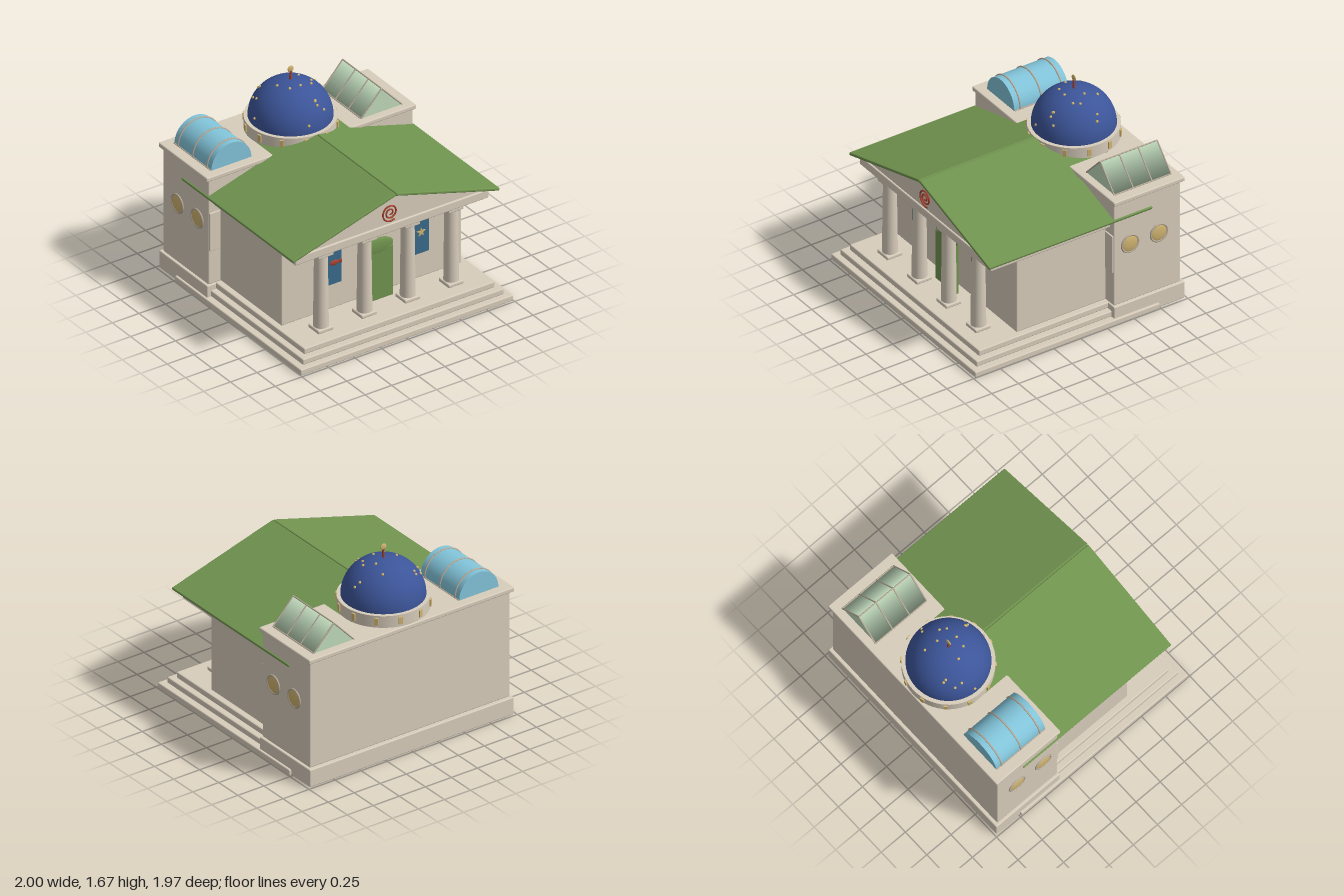
import * as THREE from 'three';
import { RoundedBoxGeometry } from 'three/addons/geometries/RoundedBoxGeometry.js';

const material = (name, color) => {
  const m = new THREE.MeshStandardMaterial({ color });
  m.name = name;
  return m;
};

export function createModel() {
  const stone = material('stone', 0xd8cdbc);
  const green = material('roofGreen', 0x71944f);
  const blue = material('domeBlue', 0x3c5599);
  const cyan = material('vaultGlass', 0x82c4da);
  const pale = material('prismGlass', 0xc0dabc);
  const gold = material('gold', 0xd0b470);
  const red = material('red', 0xa8432f);
  const banner = material('bannerBlue', 0x3a6a8c);
  const frame = material('frame', 0xb9ad9a);

  const model = new THREE.Group();
  model.name = 'templeBuilding';

  const add = (name, geometry, mat, x = 0, y = 0, z = 0, parent = model) => {
    const mesh = new THREE.Mesh(geometry, mat);
    mesh.name = name;
    mesh.position.set(x, y, z);
    parent.add(mesh);
    return mesh;
  };
  // Soft-edged block given by its limits
  const block = (name, mat, x0, x1, y0, y1, z0, z1, r = 0.01) => {
    const w = x1 - x0, h = y1 - y0, d = z1 - z0;
    const radius = Math.min(r, w * 0.4, h * 0.4, d * 0.4);
    return add(name, new RoundedBoxGeometry(w, h, d, 2, radius), mat, (x0 + x1) / 2, (y0 + y1) / 2, (z0 + z1) / 2);
  };
  // Thin round bar between two points
  const bar = (name, mat, a, b, r) =>
    add(name, new THREE.TubeGeometry(new THREE.LineCurve3(new THREE.Vector3(...a), new THREE.Vector3(...b)), 1, r, 8), mat);

  // Steps and plinth
  block('lowerStep', stone, -1, 1, 0, 0.052, -0.74, 0.985);
  block('middleStep', stone, -0.945, 0.945, 0.052, 0.104, -0.4, 0.935);
  block('upperStep', stone, -0.895, 0.895, 0.104, 0.157, -0.4, 0.88);
  block('rearPlinth', stone, -0.98, 0.98, 0, 0.155, -0.985, -0.325);

  // Hall, rear block and its cap
  block('hall', stone, -0.845, 0.845, 0.155, 0.828, -0.36, 0.495);
  block('rearBlock', stone, -0.96, 0.96, 0.155, 1.095, -0.957, -0.335);
  block('rearCap', stone, -0.985, 0.985, 1.09, 1.13, -0.985, -0.322);
  block('entablature', stone, -0.91, 0.91, 0.86, 0.935, -0.34, 0.78);

  // Pediment
  const gable = new THREE.Shape([[-0.92, 0.93], [0.92, 0.93], [0, 1.21]].map(p => new THREE.Vector2(...p)));
  add('pediment', new THREE.ExtrudeGeometry(gable, { depth: 1.1, bevelEnabled: false }), stone, 0, 0, -0.335);

  // Spiral ornament
  const coil = [];
  for (let i = 0; i <= 40; i++) {
    const t = i / 40, a = -Math.PI / 3 - t * Math.PI * 4.4, r = 0.078 - 0.066 * t;
    coil.push(new THREE.Vector3(Math.cos(a) * r, Math.sin(a) * r, 0));
  }
  add('spiralOrnament', new THREE.TubeGeometry(new THREE.CatmullRomCurve3(coil), 120, 0.007, 8), red, -0.012, 1.033, 0.77);

  for (const s of [-1, 1]) {
    // Roof slope
    const slope = block('roofSlope', green, -0.505, 0.505, -0.0125, 0.0125, -0.69, 0.835, 0.008);
    slope.position.set(s * 0.486, 1.081, 0.0725);
    slope.rotation.z = -s * 0.283;

    // Columns with bases and capitals
    for (const x of [0.203, 0.612]) {
      add('column', new THREE.CylinderGeometry(0.054, 0.062, 0.65, 32), stone, s * x, 0.508, 0.695);
      block('columnBase', stone, s * x - 0.072, s * x + 0.072, 0.155, 0.187, 0.623, 0.767);
      block('columnCapital', stone, s * x - 0.072, s * x + 0.072, 0.828, 0.862, 0.623, 0.767);
    }

    // Wing panel and round side windows
    block('wingPanel', stone, s * 0.905 - 0.05, s * 0.905 + 0.05, 0.46, 0.8, -0.345, -0.322, 0.005);
    for (const z of [-0.485, -0.755]) {
      const lens = add('roundWindow', new THREE.SphereGeometry(0.076, 32, 16), gold, s * 0.96, 0.685, z);
      lens.scale.x = 0.22;
      const rim = add('roundWindowRim', new THREE.TorusGeometry(0.076, 0.009, 10, 40), frame, s * 0.963, 0.685, z);
      rim.rotation.y = Math.PI / 2;
    }

    // Banner and its rod
    add('banner', new THREE.BoxGeometry(0.143, 0.35, 0.009), banner, s * 0.409, 0.607, 0.575);
    const rod = add('bannerRod', new THREE.CylinderGeometry(0.009, 0.009, 0.17, 12), red, s * 0.409, 0.784, 0.575);
    rod.rotation.z = Math.PI / 2;
  }

  // Fish emblem
  const fish = add('fishBody', new THREE.SphereGeometry(0.042, 20, 12), red, -0.41, 0.624, 0.582);
  fish.scale.set(1, 0.55, 0.2);
  const tail = add('fishTail', new THREE.ConeGeometry(0.022, 0.04, 12), red, -0.362, 0.624, 0.582);
  tail.rotation.z = Math.PI / 2;
  tail.scale.z = 0.3;

  // Star emblem
  const starShape = new THREE.Shape();
  for (let i = 0; i < 10; i++) {
    const a = Math.PI / 2 + i * Math.PI / 5, r = i % 2 ? 0.017 : 0.042;
    starShape[i ? 'lineTo' : 'moveTo'](Math.cos(a) * r, Math.sin(a) * r);
  }
  add('starEmblem', new THREE.ExtrudeGeometry(starShape, { depth: 0.009, bevelEnabled: false }), gold, 0.406, 0.624, 0.579);

  // Arched door
  block('door', green, -0.142, 0.142, 0.155, 0.605, 0.56, 0.59, 0.005);
  const arch = add('doorArch', new THREE.SphereGeometry(0.15, 32, 20), green, 0, 0.625, 0.575);
  arch.scale.set(1, 0.53, 0.13);

  // Drum with gold blocks, and dome
  const dome = new THREE.Group();
  dome.name = 'dome';
  dome.position.set(0, 1.23, -0.61);
  model.add(dome);
  add('drum', new THREE.CylinderGeometry(0.365, 0.365, 0.11, 64), stone, 0, -0.052, 0, dome);
  for (let i = 0; i < 12; i++) {
    const a = (i + 0.5) * Math.PI / 6;
    const stud = add('drumStud', new THREE.BoxGeometry(0.032, 0.06, 0.025), gold, Math.sin(a) * 0.364, -0.045, Math.cos(a) * 0.364, dome);
    stud.rotation.y = a;
  }
  const R = 0.334;
  const shell = add('domeShell', new THREE.SphereGeometry(R, 48, 20, 0, Math.PI * 2, 0, Math.PI / 2), blue, 0, 0, 0, dome);
  shell.scale.y = 0.97;

  // Gold dots scattered over the dome, as x and z offsets
  const dots = [[-0.166, -0.198], [-0.166, -0.176], [-0.246, -0.15], [-0.257, -0.091], [-0.326, -0.016],
    [-0.123, -0.005], [0.096, -0.032], [0.112, -0.144], [0.257, -0.043], [0.289, -0.021], [0.16, 0.048],
    [0.128, 0.096], [-0.07, 0.091], [0.021, 0.102], [0.07, 0.235], [0.07, 0.262], [0.064, 0.24],
    [0.123, 0.275], [-0.048, 0.322]];
  for (const [x, z] of dots) {
    const y = Math.sqrt(Math.max(0, R * R - x * x - z * z)) * 0.97;
    add('domeDot', new THREE.SphereGeometry(0.012, 10, 8), gold, x, y, z, dome);
  }

  // Finial
  add('finialRod', new THREE.CylinderGeometry(0.009, 0.011, 0.09, 12), red, 0, 0.355, 0, dome);
  const disc = add('finialDisc', new THREE.SphereGeometry(0.028, 20, 14), gold, 0, 0.415, 0, dome);
  disc.scale.z = 0.3;

  // Barrel-vault skylight with ribs
  const vault = add('vaultSkylight',
    new THREE.CylinderGeometry(0.188, 0.188, 0.505, 40, 1, false, -Math.PI / 2, Math.PI), cyan, -0.7, 1.13, -0.652);
  vault.rotation.x = -Math.PI / 2;
  for (const z of [-0.85, -0.652, -0.455])
    add('vaultRib', new THREE.TorusGeometry(0.19, 0.007, 8, 40, Math.PI), frame, -0.7, 1.13, z);
  for (const x of [-0.89, -0.51])
    bar('vaultSill', frame, [x, 1.132, -0.905], [x, 1.132, -0.4], 0.006);

  // Triangular skylight with rafters, ridge and sills
  const prism = add('prismSkylight',
    new THREE.CylinderGeometry(0.22, 0.22, 0.525, 3).rotateX(-Math.PI / 2), pale, 0.7, 1.2, -0.65);
  prism.scale.y = 0.636;
  for (const z of [-0.915, -0.738, -0.562, -0.385])
    for (const s of [-1, 1])
      bar('prismRafter', frame, [0.7, 1.34, z], [0.7 + s * 0.193, 1.132, z], 0.006);
  for (const [x, y] of [[0.7, 1.34], [0.507, 1.133], [0.893, 1.133]])
    bar('prismRail', frame, [x, y, -0.915], [x, y, -0.385], 0.006);

  return model;
}
